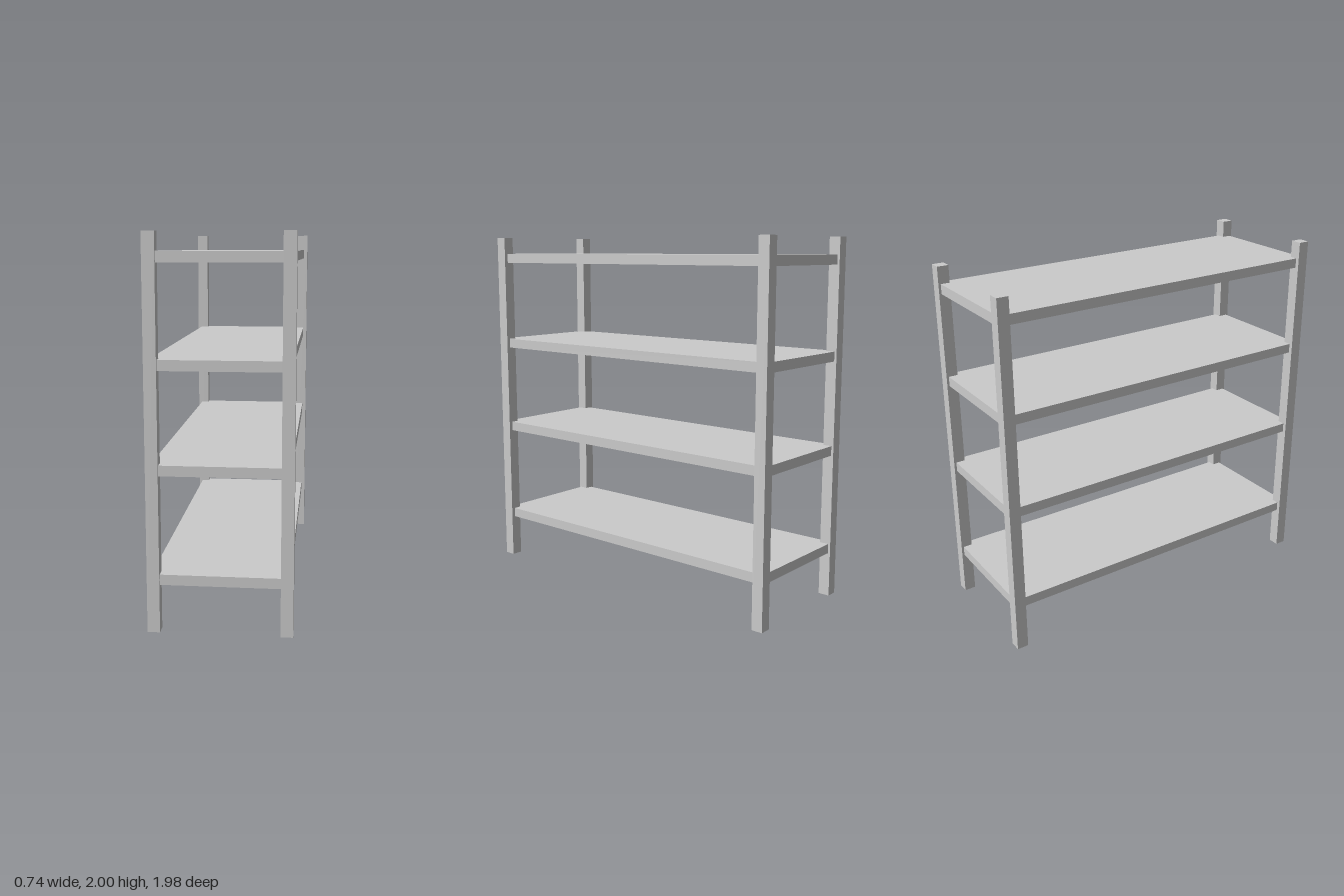
import * as THREE from 'three';

export function createModel() {
  const group = new THREE.Group();
  const material = new THREE.MeshStandardMaterial({ color: 0xcccccc, flatShading: true });

  const addBox = (name, size, position) => {
    const mesh = new THREE.Mesh(new THREE.BoxGeometry(...size), material);
    mesh.name = name;
    mesh.position.set(...position);
    group.add(mesh);
  };

  // Four square corner posts
  const post = 0.064;
  for (const [side, sx] of [['Left', 1], ['Right', -1]]) {
    for (const [end, sz] of [['front', 1], ['back', -1]]) {
      addBox(`${end}${side}Post`, [post, 2, post], [sx * 0.337, 1, sz * 0.957]);
    }
  }

  // Shelf boards, let into the posts
  [0.275, 0.837, 1.36, 1.879].forEach((y, i) => {
    addBox(`shelf${i + 1}`, [0.696, 0.054, 1.952], [0, y, 0]);
  });

  return group;
}
